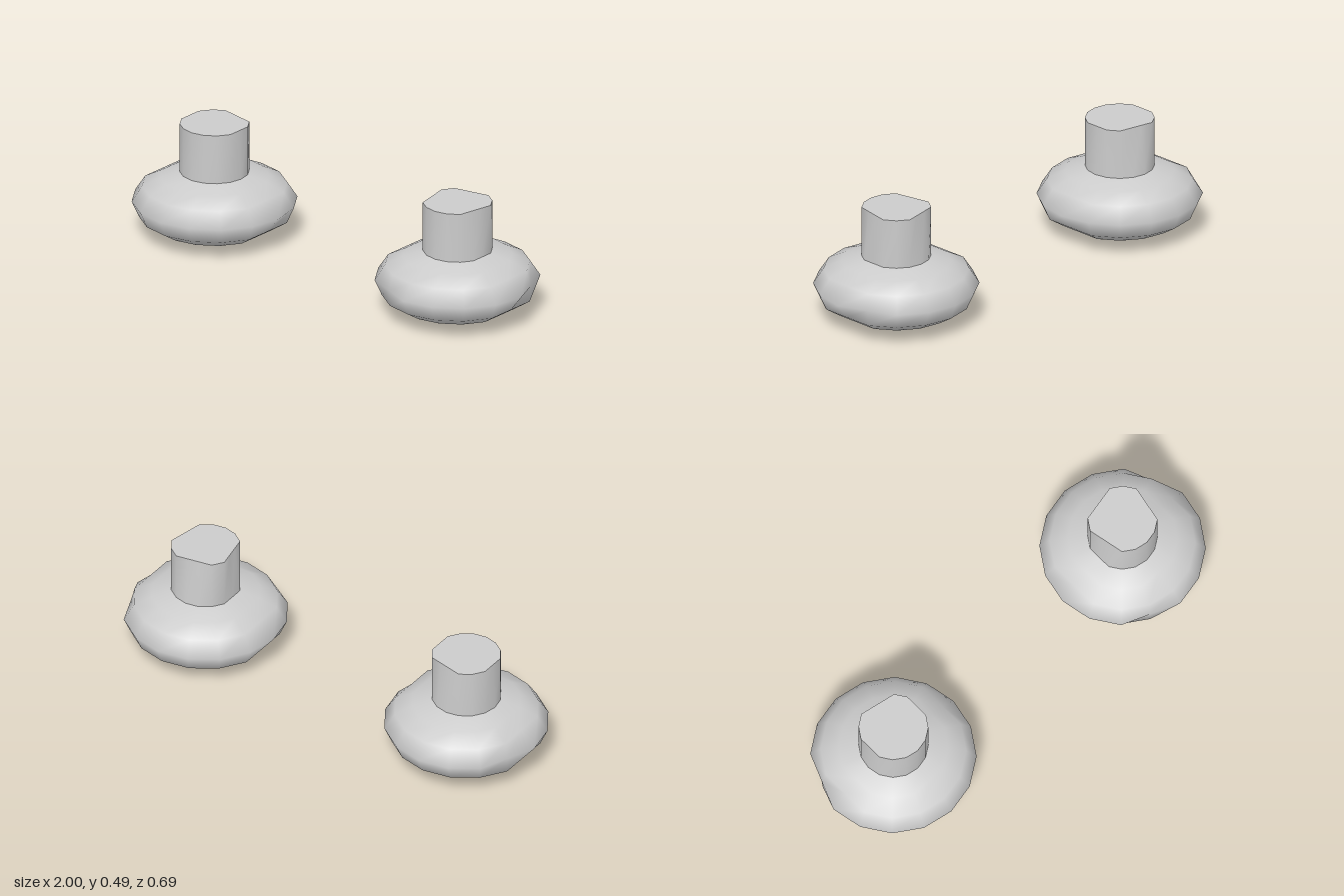
import * as THREE from 'three';
import { mergeVertices } from 'three/addons/utils/BufferGeometryUtils.js';

const SIDES = 16;

// One horizontal ring; a dropped corner is moved onto the chord of its neighbours.
// Corner 0 is +x, corner 4 is +z.
function ring([radius, y, drop = []]) {
  const pts = [];
  for (let k = 0; k < SIDES; k++) {
    const a = (k / SIDES) * Math.PI * 2;
    pts.push(new THREE.Vector3(radius * Math.cos(a), y, radius * Math.sin(a)));
  }
  const full = pts.map((p) => p.clone());
  for (const k of drop) {
    let before = k, after = k;
    while (drop.includes(before % SIDES)) before += SIDES - 1;
    while (drop.includes(after % SIDES)) after++;
    const lo = before % SIDES, hi = after % SIDES;
    const span = (hi - lo + SIDES) % SIDES;
    const step = (k - lo + SIDES) % SIDES;
    pts[k].lerpVectors(full[lo], full[hi], step / span);
  }
  return pts;
}

// Skin joining rings from bottom to top
function skin(rings, name, material) {
  const pos = [], index = [];
  rings.forEach((r) => ring(r).forEach((p) => pos.push(p.x, p.y, p.z)));
  for (let i = 0; i < rings.length - 1; i++) {
    for (let k = 0; k < SIDES; k++) {
      const a = i * SIDES + k, b = i * SIDES + ((k + 1) % SIDES);
      index.push(a, a + SIDES, b, b, a + SIDES, b + SIDES);
    }
  }
  let geo = new THREE.BufferGeometry();
  geo.setAttribute('position', new THREE.Float32BufferAttribute(pos, 3));
  geo.setIndex(index);
  geo = mergeVertices(geo, 1e-5);
  geo.computeVertexNormals();
  const mesh = new THREE.Mesh(geo, material);
  mesh.name = name;
  return mesh;
}

function makeKnob(name, x, rimDrop, neckDrop, capDrop) {
  const material = new THREE.MeshStandardMaterial({ color: 0xcccccc, side: THREE.DoubleSide });
  const knob = new THREE.Group();
  knob.name = name;
  const neck = [0.144, 0.28, neckDrop];
  const top = [0.144, 0.493, capDrop];

  // Flattened round head
  knob.add(skin([
    [0, 0.001],
    [0.085, 0.006],
    [0.247, 0.045, [0, 8]],
    [0.313, 0.086, [0, 8]],
    [0.343, 0.154, rimDrop],
    [0.3, 0.22, [0, 8]],
    [0.226, 0.257, [0, 4, 8]],
    neck,
  ], 'head', material));

  // Stem and its flat end
  knob.add(skin([neck, top], 'stem', material));
  knob.add(skin([top, [0, 0.493]], 'stemEnd', material));
  knob.position.x = x;
  return knob;
}

export function createModel() {
  const model = new THREE.Group();
  model.name = 'knobPair';
  model.add(makeKnob('leftKnob', 0.657, [5, 15], [0, 8], [0, 1, 7, 8, 11, 12]));
  model.add(makeKnob('rightKnob', -0.657, [9], [], [0, 8, 12, 13]));
  return model;
}
